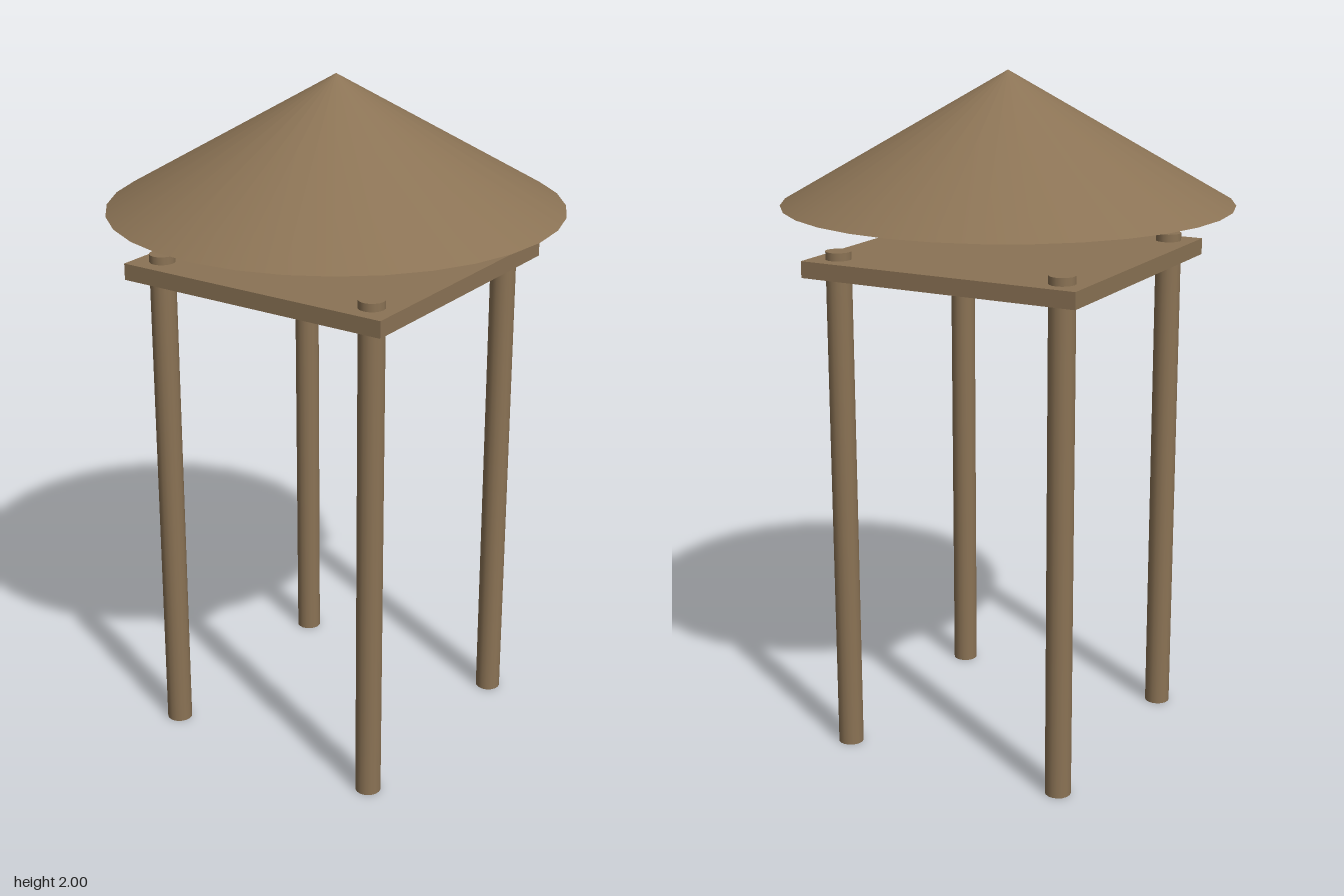
import * as THREE from 'three';

export function createModel() {
  const model = new THREE.Group();
  const wood = new THREE.MeshStandardMaterial({ color: 0x8b7355 });
  wood.name = 'brown wood';

  const add = (name, geometry, x, y, z) => {
    const mesh = new THREE.Mesh(geometry, wood);
    mesh.name = name;
    mesh.position.set(x, y, z);
    model.add(mesh);
  };

  // Four round posts, ending just above the platform
  const postHeight = 1.51;
  const postGeometry = new THREE.CylinderGeometry(0.0375, 0.0375, postHeight, 16);
  for (const [side, x] of [['Left', 0.352], ['Right', -0.352]]) {
    for (const [end, z] of [['front', 0.352], ['back', -0.352]]) {
      add(`${end}${side}Post`, postGeometry, x, postHeight / 2, z);
    }
  }

  // Square platform slab
  add('platform', new THREE.BoxGeometry(0.856, 0.048, 0.856), 0, 1.463, 0);

  // Conical roof floating above the platform
  add('roof', new THREE.ConeGeometry(0.651, 0.375, 32), 0, 1.8125, 0);

  return model;
}
